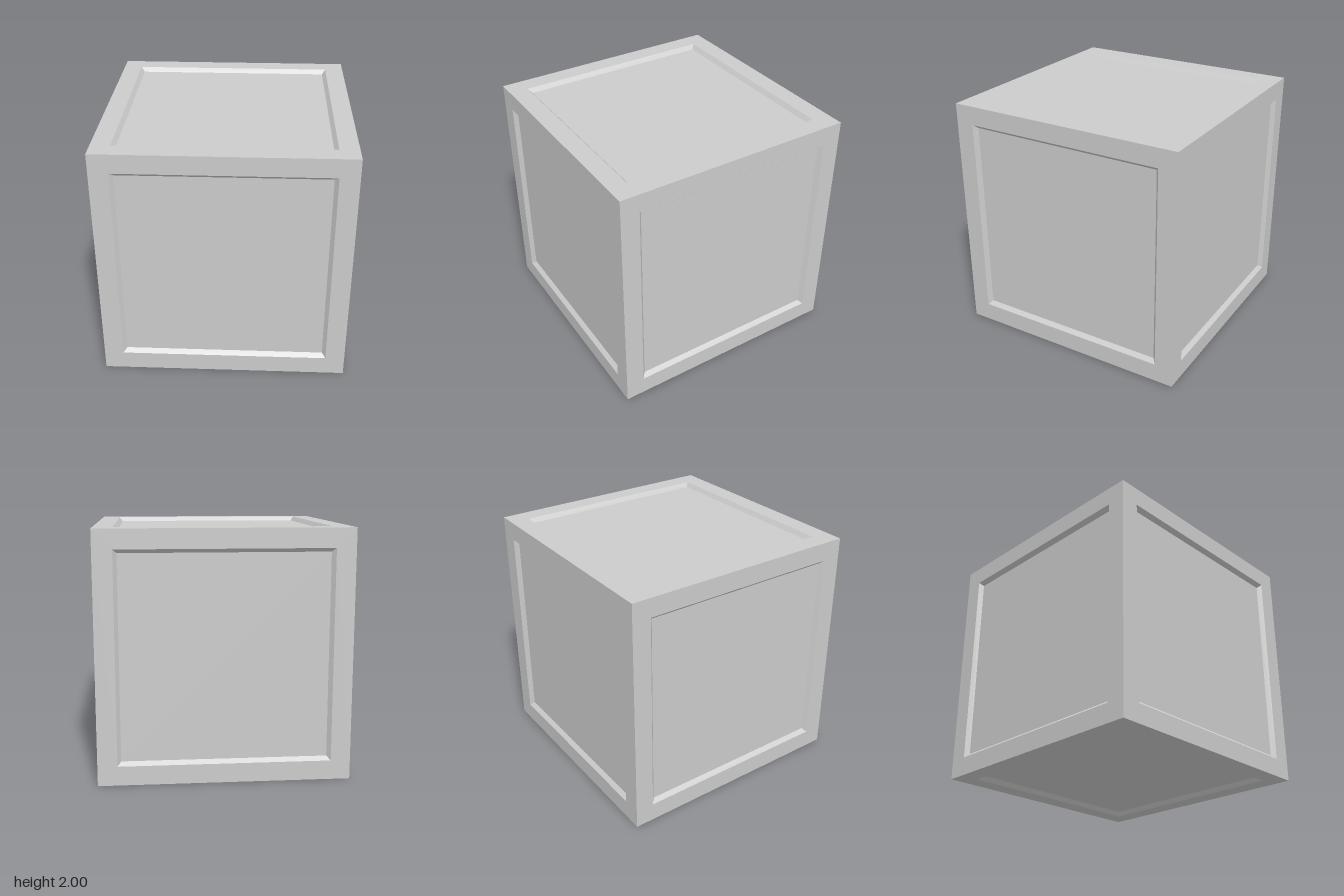
import * as THREE from 'three';

const HALF = 1, OPENING = 0.845, FLOOR = 0.815, DEPTH = 0.035;

// Square ring between two half-sizes at two heights, facing +z
function squareRing(outer, outerZ, inner, innerZ) {
  const signs = [[-1, -1], [1, -1], [1, 1], [-1, 1]];
  const corner = (i, r, z) => [signs[i % 4][0] * r, signs[i % 4][1] * r, z];
  const positions = [];
  for (let i = 0; i < 4; i++) {
    const a = corner(i, outer, outerZ), b = corner(i + 1, outer, outerZ);
    const c = corner(i + 1, inner, innerZ), d = corner(i, inner, innerZ);
    positions.push(...a, ...b, ...c, ...a, ...c, ...d);
  }
  const geometry = new THREE.BufferGeometry();
  geometry.setAttribute('position', new THREE.Float32BufferAttribute(positions, 3));
  geometry.computeVertexNormals();
  return geometry;
}

export function createModel() {
  const model = new THREE.Group();
  model.name = 'panelledCube';
  const material = new THREE.MeshStandardMaterial({ color: 0xcccccc, flatShading: true });

  // Flat rim, sloping recess wall and sunken panel, shared by all sides
  const parts = {
    rim: squareRing(HALF, HALF, OPENING, HALF),
    recessWall: squareRing(OPENING, HALF, FLOOR, HALF - DEPTH),
    panel: new THREE.PlaneGeometry(2 * FLOOR, 2 * FLOOR).translate(0, 0, HALF - DEPTH),
  };

  // Rotations about x and y that turn the +z side to each face
  const quarter = Math.PI / 2;
  const sides = {
    front: [0, 0], left: [0, quarter], back: [0, Math.PI], right: [0, -quarter],
    top: [-quarter, 0], bottom: [quarter, 0],
  };
  for (const [name, [rx, ry]] of Object.entries(sides)) {
    const side = new THREE.Group();
    side.name = `${name}Side`;
    for (const [part, geometry] of Object.entries(parts)) {
      const mesh = new THREE.Mesh(geometry, material);
      mesh.name = part;
      side.add(mesh);
    }
    side.rotation.set(rx, ry, 0);
    side.position.y = HALF;
    model.add(side);
  }
  return model;
}
